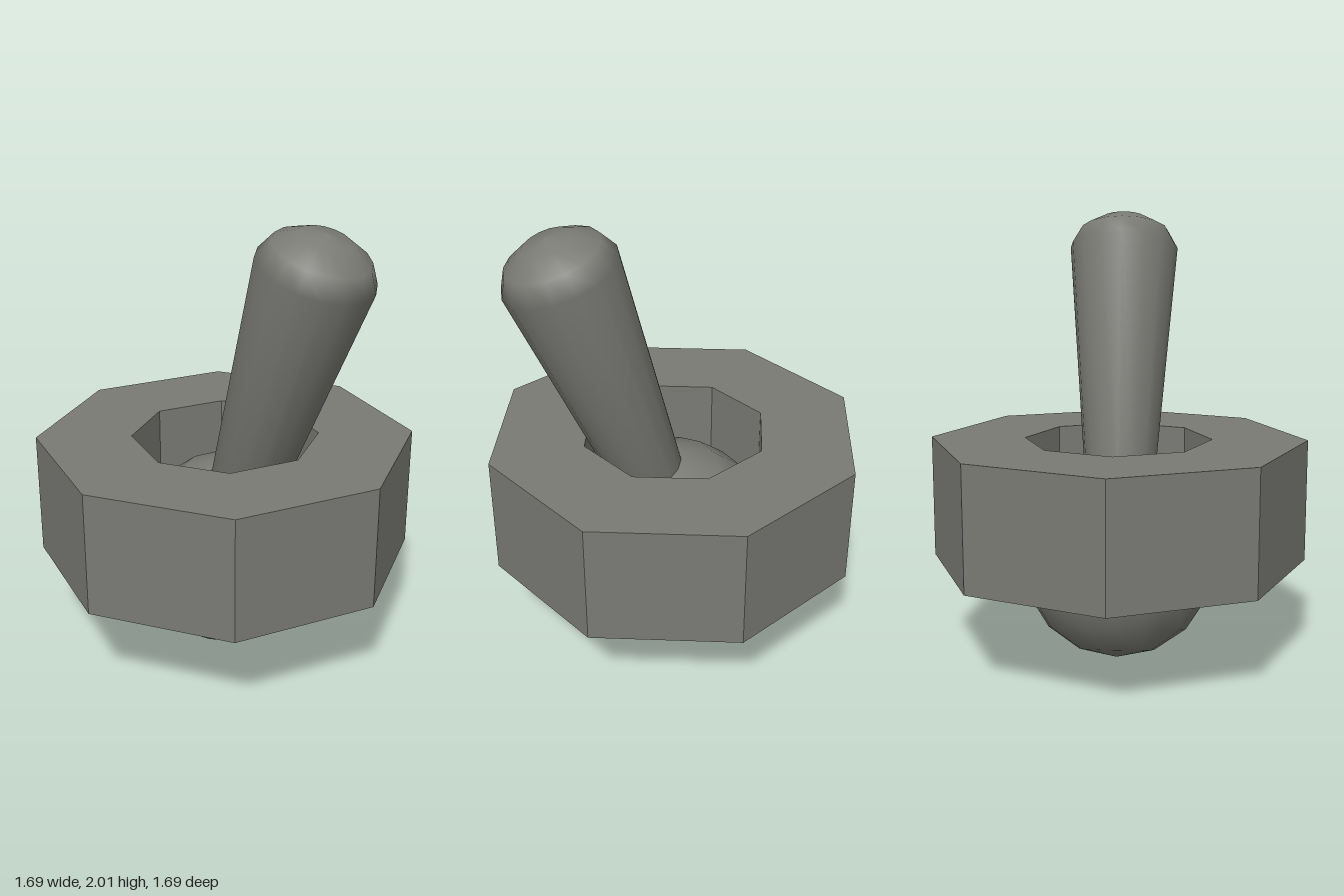
import * as THREE from 'three';

// Octagon with corners on the axes
function octagon(radius, PathType) {
  const points = [];
  for (let i = 0; i < 8; i++) {
    const a = (i * Math.PI) / 4;
    points.push(new THREE.Vector2(radius * Math.cos(a), radius * Math.sin(a)));
  }
  return new PathType(points);
}

export function createModel() {
  const model = new THREE.Group();
  model.name = 'toggleLever';

  const metal = new THREE.MeshStandardMaterial({ color: 0x7a7a75 });
  metal.name = 'grey metal';

  // Eight-sided collar with an eight-sided hole
  const outline = octagon(0.845, THREE.Shape);
  outline.holes.push(octagon(0.42, THREE.Path));
  const collarGeometry = new THREE.ExtrudeGeometry(outline, { depth: 0.55, bevelEnabled: false });
  collarGeometry.rotateX(-Math.PI / 2);
  const collar = new THREE.Mesh(collarGeometry, metal);
  collar.name = 'collar';
  collar.position.y = 0.45;
  model.add(collar);

  // Ball and stick tilt forward together about the ball's centre
  const lever = new THREE.Group();
  lever.name = 'lever';
  lever.position.y = 0.44;
  lever.rotation.x = THREE.MathUtils.degToRad(19.2);
  model.add(lever);

  const ball = new THREE.Mesh(new THREE.SphereGeometry(0.44, 16, 8), metal);
  ball.name = 'ball';
  lever.add(ball);

  // Tapered stick with a shallow rounded tip
  const profile = [
    [0, 0.3], [0.155, 0.3], [0.255, 1.477],
    [0.208, 1.563], [0.11, 1.62], [0, 1.643],
  ].map(([r, y]) => new THREE.Vector2(r, y));
  const stick = new THREE.Mesh(new THREE.LatheGeometry(profile, 16), metal);
  stick.name = 'stick';
  lever.add(stick);

  return model;
}
